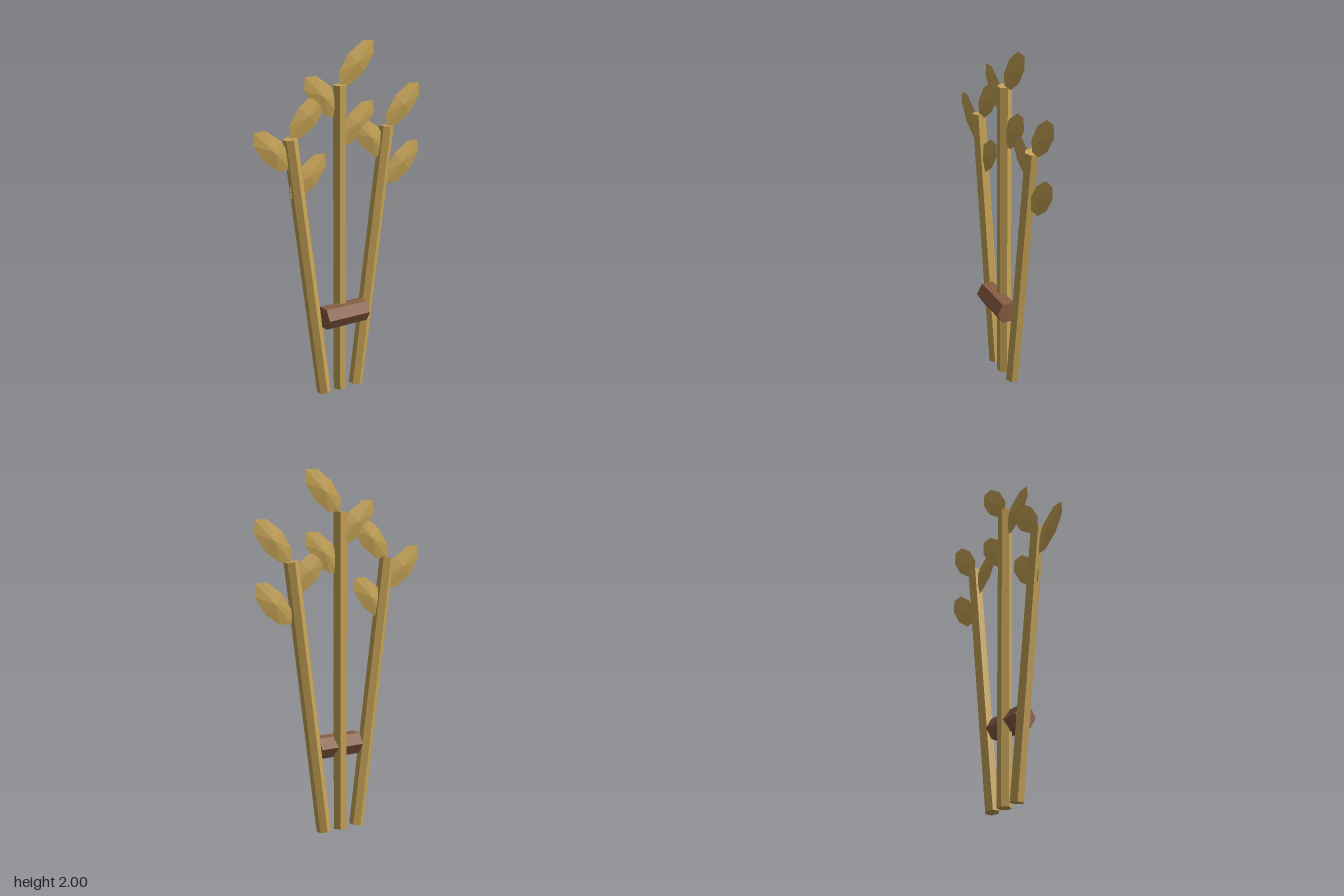
import * as THREE from 'three';

const STALK_Z = -0.035;

export function createModel() {
  const model = new THREE.Group();
  model.name = 'stalkBundle';

  const straw = new THREE.MeshStandardMaterial({ color: 0xc9a557, flatShading: true });
  straw.name = 'straw';
  const brown = new THREE.MeshStandardMaterial({ color: 0x8a5e43, flatShading: true });
  brown.name = 'brown';

  // leaf: flat octagonal lens, long axis on x, starting at the origin
  const leafGeo = new THREE.SphereGeometry(1, 8, 2);
  leafGeo.rotateX(Math.PI / 2);
  leafGeo.scale(0.156, 0.073, 0.016);
  leafGeo.translate(0.156, 0, 0);

  function addLeaf(parent, x, y, side) {
    const leaf = new THREE.Mesh(leafGeo, straw);
    leaf.name = side > 0 ? 'leafLeft' : 'leafRight';
    leaf.position.set(x, y, STALK_Z);
    leaf.rotation.z = side > 0 ? 0.8 : Math.PI - 0.8;
    parent.add(leaf);
  }

  // hexagonal stalk between two points, with three alternating leaves
  function addStalk(name, bottom, top, turn) {
    const group = new THREE.Group();
    group.name = name;
    const dx = top[0] - bottom[0], dy = top[1] - bottom[1];
    const geo = new THREE.CylinderGeometry(0.04, 0.04, Math.hypot(dx, dy), 6);
    geo.rotateY(turn);
    const stem = new THREE.Mesh(geo, straw);
    stem.name = 'stem';
    stem.position.set((top[0] + bottom[0]) / 2, (top[1] + bottom[1]) / 2, STALK_Z);
    stem.rotation.z = -Math.atan2(dx, dy);
    group.add(stem);
    [1, -1, 1].forEach((side, i) => addLeaf(group, top[0], top[1] - i * 0.165, side));
    model.add(group);
  }

  addStalk('centreStalk', [0, 0.005], [0, 1.775], Math.PI / 6);
  addStalk('leftStalk', [0.11, 0.008], [0.312, 1.517], 0);
  addStalk('rightStalk', [-0.11, 0.008], [-0.312, 1.517], 0);

  // hexagonal binding across the stalks
  const tieGeo = new THREE.CylinderGeometry(0.067, 0.067, 0.27, 6);
  tieGeo.rotateZ(Math.PI / 2);
  const tie = new THREE.Mesh(tieGeo, brown);
  tie.name = 'binding';
  tie.position.set(0, 0.477, 0.005);
  model.add(tie);

  return model;
}
